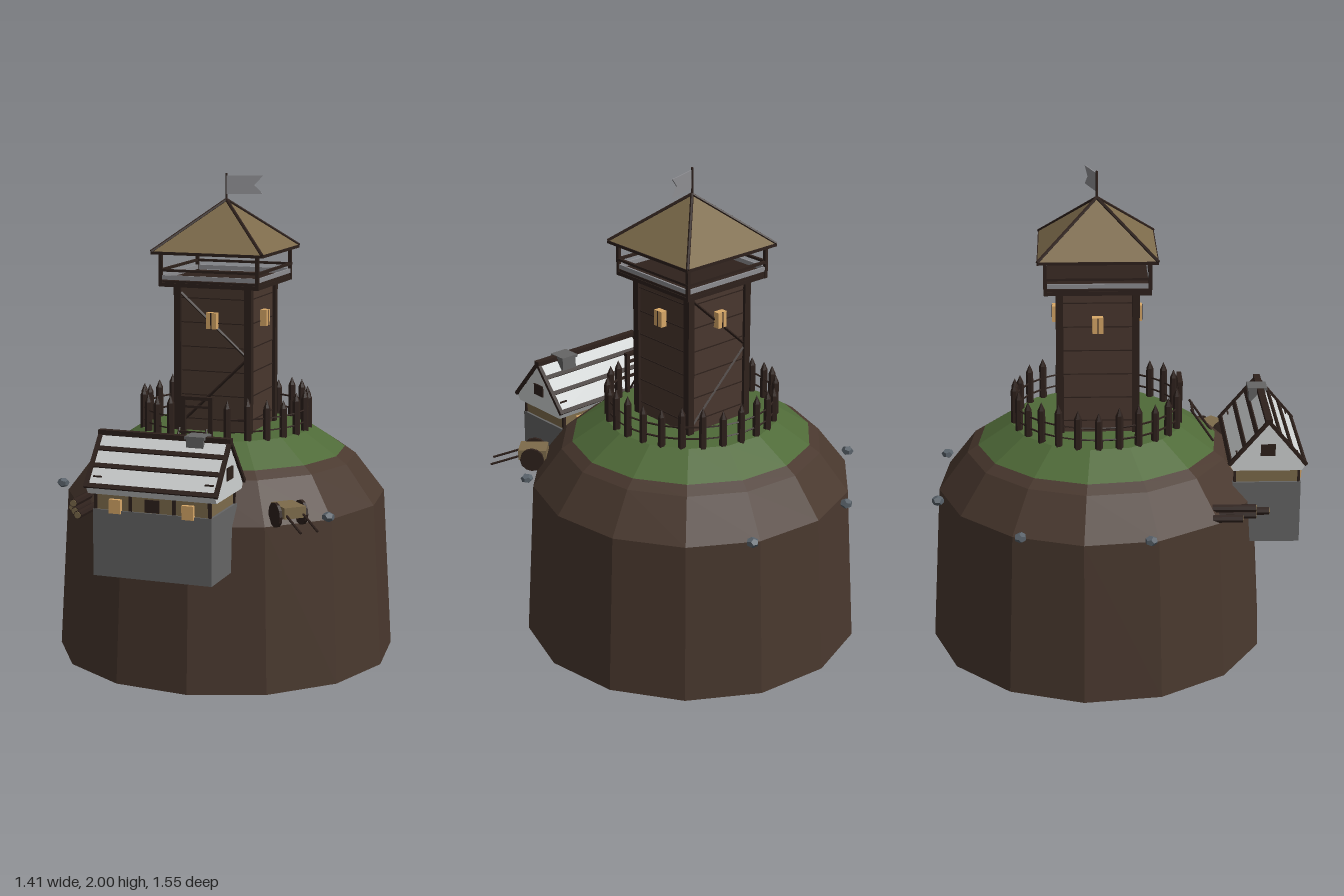
import * as THREE from 'three';

const mat = (name, color) => {
  const m = new THREE.MeshStandardMaterial({ color });
  m.name = name;
  return m;
};

export function createModel() {
  const M = {
    earth: mat('earth', 0x49382e), grass: mat('grass', 0x4f6a38),
    plank: mat('plankWood', 0x49372e), dark: mat('darkWood', 0x2e211c),
    thatch: mat('thatch', 0x7d6b4b), stone: mat('stone', 0x656565),
    plaster: mat('plaster', 0xcfd2d2), glow: mat('windowGlow', 0xd8a868),
    rock: mat('rock', 0x59626a), grey: mat('paleGrey', 0x8e8e92),
  };
  const root = new THREE.Group();
  root.name = 'hillWatchtower';
  const CZ = -0.073;

  const group = (name, x = 0, y = 0, z = 0, parent = root) => {
    const g = new THREE.Group();
    g.name = name;
    g.position.set(x, y, z);
    parent.add(g);
    return g;
  };
  // Every face is flat shaded through split normals
  const add = (parent, name, geo, material, x = 0, y = 0, z = 0) => {
    const flat = geo.index ? geo.toNonIndexed() : geo;
    flat.computeVertexNormals();
    const mesh = new THREE.Mesh(flat, material);
    mesh.name = name;
    mesh.position.set(x, y, z);
    parent.add(mesh);
    return mesh;
  };
  const box = (parent, name, material, w, h, d, x, y, z) =>
    add(parent, name, new THREE.BoxGeometry(w, h, d), material, x, y, z);
  // Round beam between two points
  const beam = (parent, name, material, a, b, r, sides = 6) => {
    const p = new THREE.Vector3(...a), q = new THREE.Vector3(...b);
    const dir = q.clone().sub(p);
    const mesh = add(parent, name, new THREE.CylinderGeometry(r, r, dir.length(), sides), material);
    mesh.position.copy(p).add(q).multiplyScalar(0.5);
    mesh.quaternion.setFromUnitVectors(new THREE.Vector3(0, 1, 0), dir.normalize());
    return mesh;
  };
  const lathe = (pts) => new THREE.LatheGeometry(
    pts.map(([r, y]) => new THREE.Vector2(r, y)), 14, THREE.MathUtils.degToRad(7.4));

  // Hill
  const hill = group('hill', 0, 0, CZ);
  add(hill, 'earthMound', lathe([[0, 0], [0.707, 0], [0.667, 0.67], [0.545, 0.83], [0.5, 0.86]]), M.earth);
  add(hill, 'grassCap', lathe([[0.5, 0.86], [0.36, 0.95], [0, 0.95]]), M.grass);

  // Boulders around the hill
  [[-0.25, -0.73], [0.265, -0.72], [-0.62, -0.385], [-0.665, 0.125], [0.57, 0.315]].forEach(([x, z], i) => {
    const b = add(root, 'boulder', new THREE.DodecahedronGeometry(0.026), M.rock, x, 0.69, z);
    b.scale.y = 0.8;
    b.rotation.y = i * 1.3;
  });

  // Tower body, with the same dressing on all four faces
  const tower = group('tower', 0, 0, CZ);
  box(tower, 'towerWalls', M.plank, 0.31, 0.62, 0.31, 0, 1.24, 0);
  for (let i = 0; i < 4; i++) {
    const side = group('towerSide', 0, 0, 0, tower);
    side.rotation.y = i * Math.PI / 2;
    box(side, 'cornerPost', M.dark, 0.03, 0.62, 0.03, 0.153, 1.24, 0.153);
    for (let y = 1.0; y < 1.53; y += 0.1) box(side, 'plankSeam', M.dark, 0.29, 0.004, 0.004, 0, y, 0.156);
    box(side, 'window', M.glow, 0.044, 0.066, 0.03, 0, 1.412, 0.168);
    box(side, 'windowBar', M.dark, 0.004, 0.066, 0.004, 0, 1.412, 0.183);
    if (i % 2 === 0) {
      beam(side, 'brace', M.dark, [-0.14, 1.52, 0.157], [0.14, 1.27, 0.157], 0.006, 4);
      beam(side, 'brace', M.dark, [0.14, 1.25, 0.157], [-0.14, 0.98, 0.157], 0.006, 4);
    }
    // Gallery and its railing
    box(side, 'galleryBeam', M.dark, 0.43, 0.016, 0.016, 0, 1.556, 0.205);
    box(side, 'galleryBoard', M.grey, 0.42, 0.018, 0.008, 0, 1.586, 0.208);
    box(side, 'handRail', M.dark, 0.43, 0.01, 0.012, 0, 1.615, 0.21);
    box(side, 'roofPost', M.dark, 0.014, 0.14, 0.014, 0.208, 1.62, 0.208);
    // Eave and hip beams
    box(side, 'eaveBeam', M.dark, 0.48, 0.012, 0.01, 0, 1.687, 0.235);
    beam(side, 'hipBeam', M.dark, [0, 1.892, 0], [0.238, 1.692, 0.238], 0.007);
  }
  box(tower, 'galleryFloor', M.dark, 0.42, 0.016, 0.42, 0, 1.566, 0);
  const roof = add(tower, 'towerRoof', new THREE.ConeGeometry(0.24 * Math.SQRT2, 0.2, 4), M.thatch, 0, 1.79, 0);
  roof.rotation.y = Math.PI / 4;

  // Swallow-tailed flag
  beam(tower, 'flagPole', M.dark, [0, 1.87, 0], [0, 2, 0], 0.005);
  const pennant = new THREE.Shape([[0, 1.915], [0.15, 1.915], [0.115, 1.952], [0.15, 1.99], [0, 1.99]]
    .map(p => new THREE.Vector2(...p)));
  const flag = add(tower, 'flag', new THREE.ExtrudeGeometry(pennant, { depth: 0.005, bevelEnabled: false }), M.grey);
  flag.rotation.y = 0.31;

  // Palisade ring, open at the front
  const fence = group('palisade', 0, 0, CZ);
  const step = Math.PI * 2 / 26, R = 0.345;
  const at = (i, y) => [Math.sin((i + 0.5) * step) * R, y, Math.cos((i + 0.5) * step) * R];
  for (let i = 1; i < 25; i++) {
    const h = 0.13 + 0.03 * Math.abs(Math.sin(i * 2.3));
    const [x, , z] = at(i, 0);
    add(fence, 'stake', new THREE.CylinderGeometry(0.015, 0.016, h, 6), M.dark, x, 0.94 + h / 2 - 0.01, z);
    add(fence, 'stakePoint', new THREE.ConeGeometry(0.015, 0.035, 6), M.dark, x, 0.947 + h, z);
    if (i < 24) for (const y of [0.985, 1.035]) beam(fence, 'fenceRail', M.dark, at(i, y), at(i + 1, y), 0.004, 4);
  }

  // Gateway with a ladder leading up to it
  const gate = group('gate');
  for (const s of [-1, 1]) {
    box(gate, 'gatePost', M.dark, 0.016, 0.19, 0.016, s * 0.058, 1.03, 0.268);
    beam(gate, 'ladderRail', M.dark, [s * 0.058, 0.865, 0.408], [s * 0.058, 1.005, 0.313], 0.005);
  }
  box(gate, 'gateLintel', M.dark, 0.135, 0.014, 0.02, 0, 1.12, 0.268);
  box(gate, 'gateCrossbar', M.dark, 0.12, 0.01, 0.012, 0, 1.085, 0.268);
  box(gate, 'ladderRung', M.dark, 0.12, 0.01, 0.01, 0, 0.99, 0.322);

  // House on the hillside
  const house = group('house', 0, 0, 0.615);
  box(house, 'stoneBase', M.stone, 0.49, 0.265, 0.28, 0, 0.6225, 0);
  box(house, 'upperWall', M.thatch, 0.47, 0.07, 0.265, 0, 0.787, 0);
  const gable = new THREE.Shape([[-0.14, 0.815], [0.14, 0.815], [0.155, 0.84], [0, 1.025], [-0.155, 0.84]]
    .map(p => new THREE.Vector2(...p)));
  const loft = add(house, 'gabledLoft',
    new THREE.ExtrudeGeometry(gable, { depth: 0.53, bevelEnabled: false }), M.plaster, -0.265, 0, 0);
  loft.rotation.y = Math.PI / 2;
  for (const s of [-1, 1]) {
    // Roof battens and gable edge boards
    for (const t of [0.29, 0.6, 0.97]) {
      const batten = box(house, 'roofBatten', M.dark, 0.54, 0.014, 0.018, 0, 1.027 - t * 0.185, s * t * 0.155);
      batten.rotation.x = s * 0.87;
    }
    for (const e of [-1, 1]) {
      const rake = box(house, 'gableBoard', M.dark, 0.016, 0.014, 0.245, e * 0.267, 0.935, s * 0.079);
      rake.rotation.x = s * 0.87;
      box(house, 'roofVent', M.dark, 0.035, 0.006, 0.006, e * 0.23, 0.88, s * 0.124);
    }
    box(house, 'gableWindow', M.dark, 0.008, 0.05, 0.06, s * 0.266, 0.905, 0);
    // Lit windows, door and wall studs
    for (const x of [-0.15, 0.15]) box(house, 'houseWindow', M.glow, 0.048, 0.055, 0.02, x, 0.772, s * 0.14);
    box(house, 'doorPanel', M.dark, 0.06, 0.05, 0.008, 0, 0.782, s * 0.134);
    for (const x of [-0.235, -0.09, 0.09, 0.235]) box(house, 'wallStud', M.dark, 0.014, 0.06, 0.01, x, 0.785, s * 0.131);
  }
  box(house, 'ridgeBeam', M.dark, 0.55, 0.02, 0.028, 0, 1.03, 0);
  box(house, 'chimney', M.stone, 0.07, 0.09, 0.07, 0.132, 0.995, -0.012);
  box(house, 'chimneyCap', M.stone, 0.082, 0.012, 0.082, 0.132, 1.036, -0.012);

  // Log pile
  const logs = group('logPile');
  [[-0.45, 0.685, 0.38, 0.5], [-0.413, 0.685, 0.38, 0.555], [-0.376, 0.685, 0.44, 0.612], [-0.42, 0.717, 0.38, 0.555]]
    .forEach(([x, y, z0, z1]) => {
      beam(logs, 'log', M.dark, [x, y, z0], [x, y, z1], 0.017, 8);
      beam(logs, 'logEnd', M.thatch, [x, y, z1], [x, y, z1 + 0.003], 0.014, 8);
    });

  // Handcart, its handles pointing outward and down
  const cart = group('handcart', 0.443, 0.72, 0.432);
  cart.rotation.y = Math.PI / 4;
  box(cart, 'cartBed', M.thatch, 0.092, 0.045, 0.118, 0, 0.015, 0);
  for (const s of [-1, 1]) {
    beam(cart, 'cartWheel', M.dark, [s * 0.05, 0, 0], [s * 0.062, 0, 0], 0.05, 12);
    beam(cart, 'cartHandle', M.dark, [s * 0.036, 0.012, 0.04], [s * 0.036, -0.035, 0.178], 0.005);
  }
  beam(cart, 'cartAxle', M.dark, [-0.055, 0, 0], [0.055, 0, 0], 0.006);

  return root;
}
